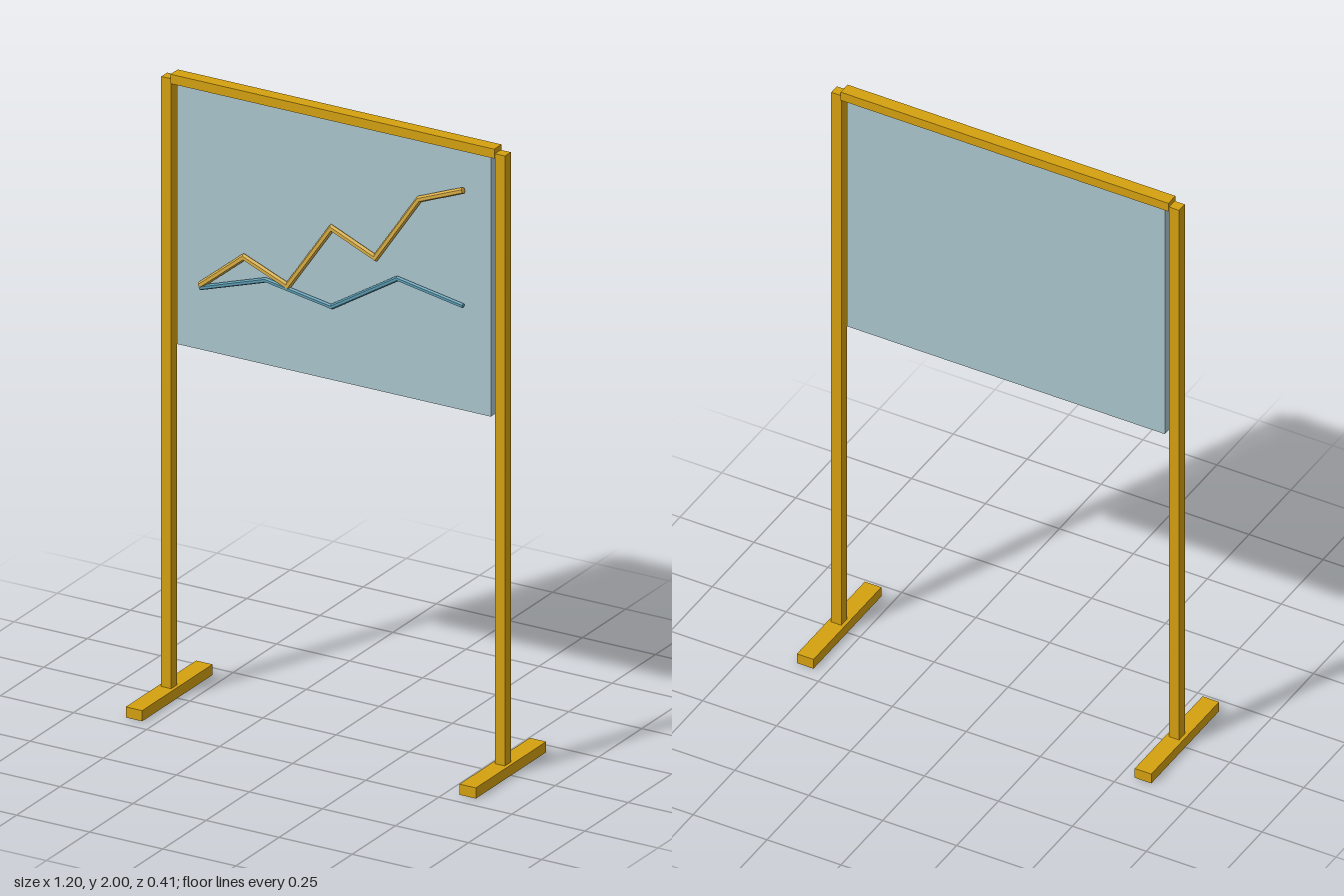
import * as THREE from 'three';

const material = (color, extra = {}) => new THREE.MeshStandardMaterial({ color, ...extra });

function box(name, size, position, mat) {
  const mesh = new THREE.Mesh(new THREE.BoxGeometry(...size), mat);
  mesh.name = name;
  mesh.position.set(...position);
  return mesh;
}

// Mitred rod along a zigzag path in the XY plane, with flat end caps
function rodGeometry(points, radius, z, sides = 6) {
  const path = points.map(([x, y]) => new THREE.Vector2(x, y));
  const last = path.length - 1;
  const positions = [], indices = [];
  path.forEach((p, i) => {
    const before = path[i].clone().sub(path[Math.max(i - 1, 0)]).normalize();
    const after = path[Math.min(i + 1, last)].clone().sub(p).normalize();
    const along = before.clone().add(after).normalize();
    const ref = i < last ? after : before;
    const stretch = 1 / along.dot(ref);
    for (let s = 0; s < sides; s++) {
      const a = (s / sides) * Math.PI * 2;
      const side = Math.cos(a) * radius * stretch;
      positions.push(p.x - along.y * side, p.y + along.x * side, z + Math.sin(a) * radius);
    }
  });
  for (let i = 0; i < last; i++) {
    for (let s = 0; s < sides; s++) {
      const t = (s + 1) % sides;
      const a = i * sides + s, b = i * sides + t;
      indices.push(a, b, a + sides, b, b + sides, a + sides);
    }
  }
  const end = last * sides;
  for (let s = 1; s < sides - 1; s++) {
    indices.push(0, s + 1, s, end, end + s, end + s + 1);
  }
  const geometry = new THREE.BufferGeometry();
  geometry.setAttribute('position', new THREE.Float32BufferAttribute(positions, 3));
  geometry.setIndex(indices);
  geometry.computeVertexNormals();
  return geometry;
}

function chartLine(name, heights, radius, color) {
  const points = heights.map((y, i) => [-0.45 + (0.9 * i) / (heights.length - 1), y]);
  const mesh = new THREE.Mesh(
    rodGeometry(points, radius, 0.025),
    material(color, { flatShading: true })
  );
  mesh.name = name;
  return mesh;
}

export function createModel() {
  const group = new THREE.Group();
  group.name = 'chartStand';
  const gold = material(0xd4a010);

  // Feet and posts, mirrored left and right
  for (const [label, s] of [['left', 1], ['right', -1]]) {
    group.add(box(label + 'Foot', [0.056, 0.034, 0.406], [s * 0.571, 0.017, 0], gold));
    group.add(box(label + 'Post', [0.034, 1.95, 0.034], [s * 0.571, 1.009, 0], gold));
  }

  // Top rail and hanging panel
  group.add(box('topRail', [1.108, 0.03, 0.042], [0, 1.985, 0], gold));
  group.add(box('panel', [1.074, 0.84, 0.024], [0, 1.558, 0], material(0xa9c4cc)));

  // Zigzag chart lines on the front of the panel
  group.add(chartLine('upperChartLine', [1.35, 1.472, 1.412, 1.63, 1.567, 1.787, 1.847], 0.01, 0xd9ae45));
  group.add(chartLine('lowerChartLine', [1.342, 1.415, 1.378, 1.517, 1.478], 0.008, 0x5b9bb0));

  return group;
}
